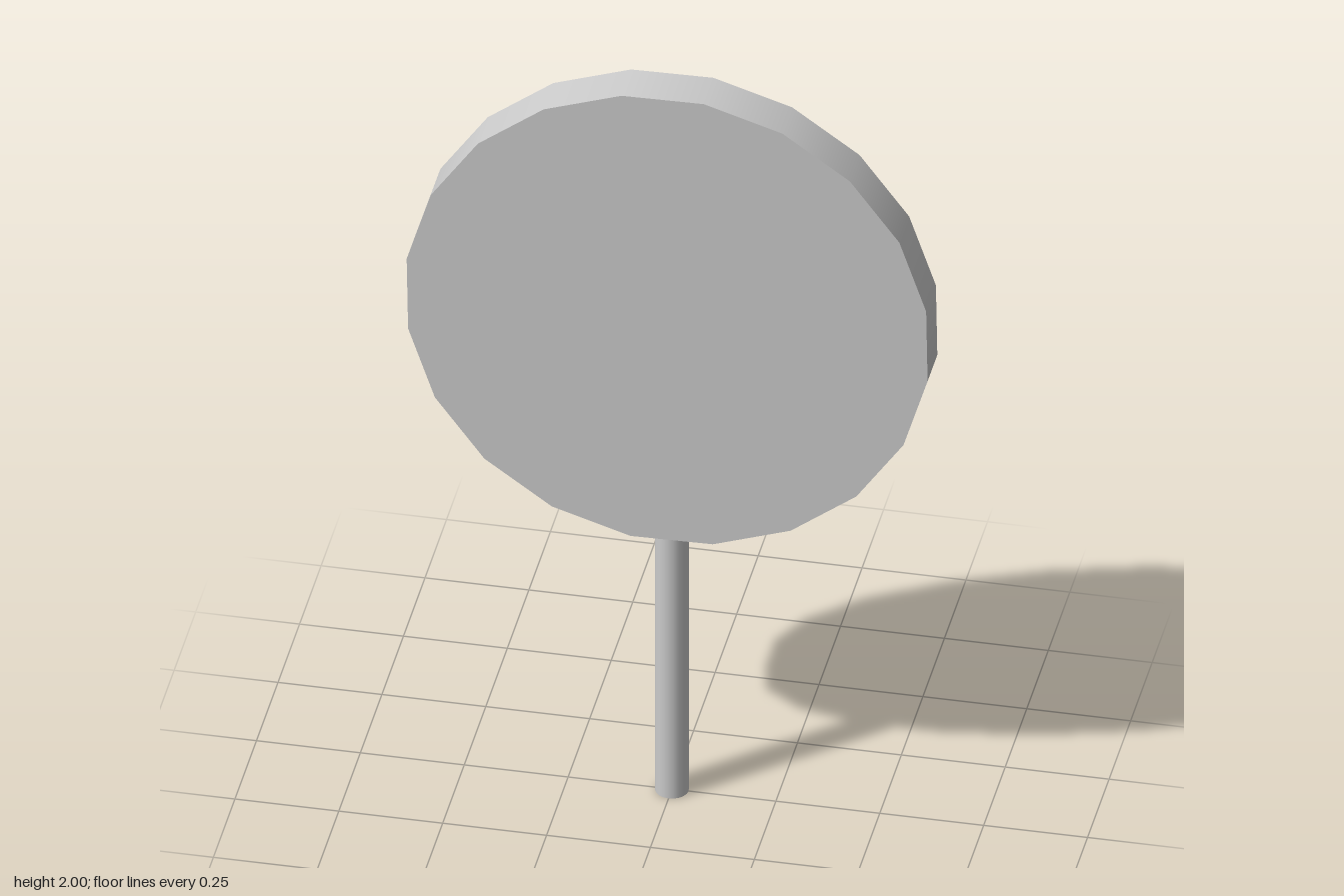
import * as THREE from 'three';

export function createModel() {
  const model = new THREE.Group();
  const material = new THREE.MeshStandardMaterial({ color: 0xcccccc });

  const addPart = (name, geometry, y) => {
    const mesh = new THREE.Mesh(geometry, material);
    mesh.name = name;
    mesh.position.y = y;
    model.add(mesh);
  };

  // Round 20-sided head facing the front, turned slightly about its axis
  const head = new THREE.CylinderGeometry(0.633, 0.633, 0.113, 20);
  head.rotateX(Math.PI / 2).rotateZ(THREE.MathUtils.degToRad(10));
  addPart('discHead', head, 1.373);

  // Thin stick, its top just sunk into the rim of the head
  const stickHeight = 0.76;
  addPart('stick', new THREE.CylinderGeometry(0.04, 0.04, stickHeight, 20), stickHeight / 2);

  return model;
}
